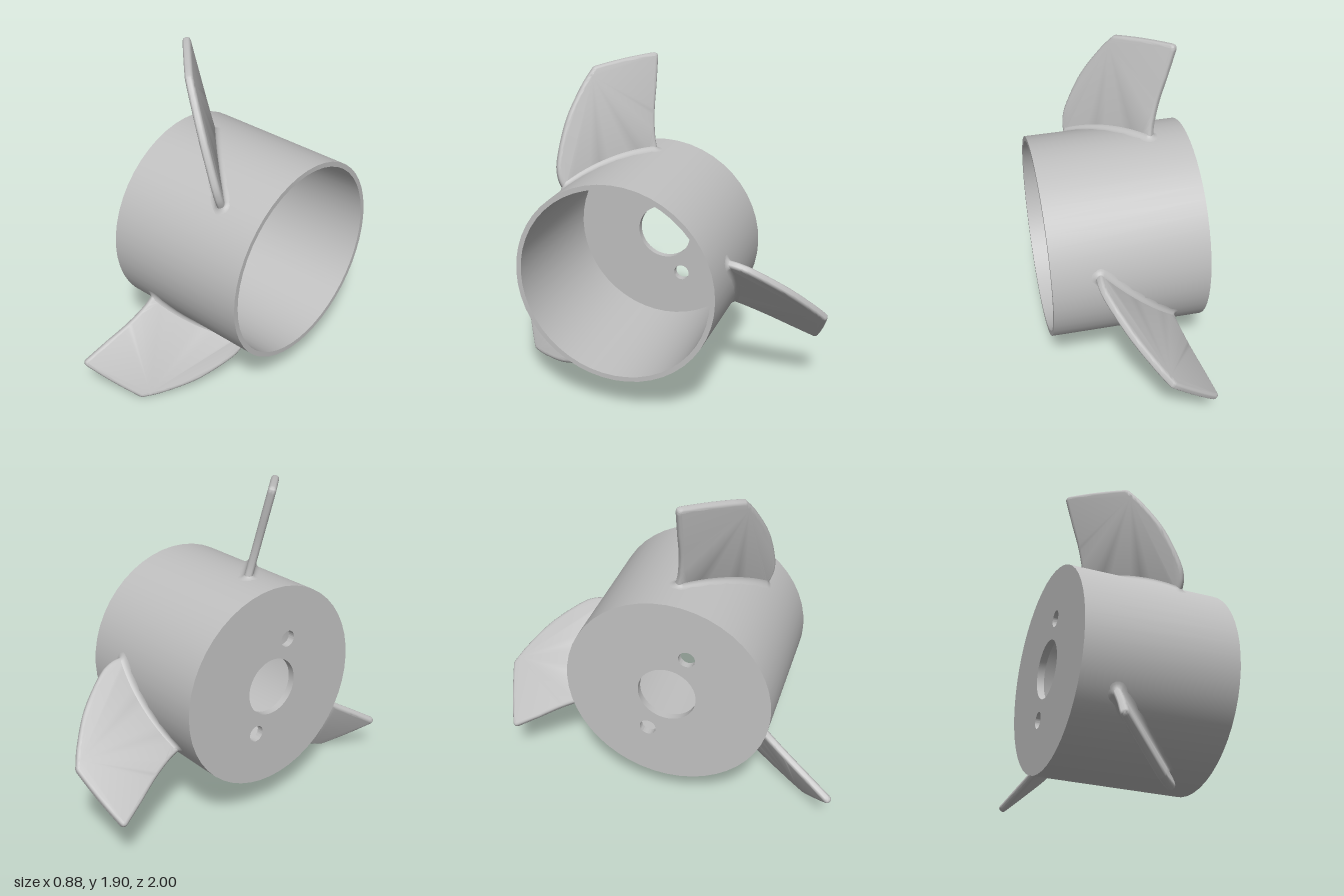
import * as THREE from 'three';
import { toCreasedNormals } from 'three/addons/utils/BufferGeometryUtils.js';

const HUB_R = 0.575;
const BACK = -0.435, FRONT = 0.43, FLOOR = 0.04;
const V = (x, y) => new THREE.Vector2(x, y);

// Cup wall: a lathe laid along the x axis
function wallGeometry() {
  const profile = [
    V(0.55, BACK), V(HUB_R, BACK), V(HUB_R, FRONT),
    V(0.547, FRONT), V(0.537, BACK + FLOOR),
  ];
  const geo = new THREE.LatheGeometry(profile, 48);
  geo.rotateZ(-Math.PI / 2);
  return toCreasedNormals(geo, 0.6);
}

// Cup floor: disc with a shaft hole and two pin holes
function floorGeometry() {
  const disc = new THREE.Shape().absarc(0, 0, 0.552, 0, Math.PI * 2, false);
  for (const [x, y, r] of [[0, 0, 0.163], [-0.11, 0.255, 0.046], [0.11, -0.255, 0.046]]) {
    disc.holes.push(new THREE.Path().absarc(x, y, r, 0, Math.PI * 2, true));
  }
  const geo = new THREE.ExtrudeGeometry(disc, { depth: FLOOR, bevelEnabled: false, curveSegments: 48 });
  geo.rotateY(Math.PI / 2);
  geo.translate(BACK, 0, 0);
  return toCreasedNormals(geo, 0.6);
}

// Blade plate: x is the chord, y the distance from the hub axis
function bladeGeometry() {
  const rootHeight = (s) => Math.sqrt(0.562 ** 2 - s * s / 2);
  const s0 = -0.29, s1 = 0.31;
  const shape = new THREE.Shape();
  shape.moveTo(s0, rootHeight(s0));
  for (let i = 1; i <= 10; i++) {
    const s = s0 + (s1 - s0) * i / 10;
    shape.lineTo(s, rootHeight(s));
  }
  shape.splineThru([V(0.315, 0.6), V(0.28, 0.7), V(0.156, 0.88), V(0.01, 1.02), V(-0.085, 1.09)]);
  shape.quadraticCurveTo(-0.095, 1.098, -0.11, 1.097);
  shape.quadraticCurveTo(-0.28, 1.085, -0.455, 1.052);
  shape.quadraticCurveTo(-0.485, 1.046, -0.478, 1.02);
  shape.splineThru([V(-0.415, 0.88), V(-0.35, 0.74), V(-0.305, 0.61), V(s0, rootHeight(s0))]);
  const geo = new THREE.ExtrudeGeometry(shape, {
    depth: 0.004, bevelThickness: 0.02, bevelSize: 0.02, bevelOffset: -0.02,
    bevelSegments: 4, curveSegments: 6,
  });
  geo.translate(0, 0, -0.002);
  return toCreasedNormals(geo, 0.7);
}

// Concave fillet blending the blade root into the round hub
function filletGeometry() {
  const half = 0.021, reach = 0.03, centre = 0.01, len = 0.278, rows = 5;
  const loop = [];
  for (const side of [1, -1]) {
    for (let i = 0; i < 12; i++) loop.push([side * len * (i / 6 - 1), 0, side]);
    for (let i = 0; i < 8; i++) {
      const a = Math.PI * i / 8;
      loop.push([side * len, side * Math.sin(a), side * Math.cos(a)]);
    }
  }
  const pos = [], index = [], n = loop.length;
  for (let j = 0; j <= rows; j++) {
    const a = (j / rows) * Math.PI / 2;
    const w = half + reach * (1 - Math.sin(a));
    const h = reach * (1 - Math.cos(a)) - 0.001;
    for (const [s, ds, dn] of loop) {
      const chord = centre + s + ds * w, off = dn * w;
      const t = (chord + off) * Math.SQRT1_2;
      pos.push(chord, Math.sqrt(HUB_R ** 2 - t * t) + h, off);
    }
  }
  for (let j = 0; j < rows; j++) {
    for (let k = 0; k < n; k++) {
      const a = j * n + k, b = j * n + (k + 1) % n;
      index.push(a, b, a + n, b, b + n, a + n);
    }
  }
  const geo = new THREE.BufferGeometry();
  geo.setAttribute('position', new THREE.Float32BufferAttribute(pos, 3));
  geo.setIndex(index);
  geo.computeVertexNormals();
  return geo;
}

export function createModel() {
  const grey = new THREE.MeshStandardMaterial({ color: 0xc0c0c0 });
  grey.name = 'light grey';
  const add = (parent, geo, name) => {
    const mesh = new THREE.Mesh(geo, grey);
    mesh.name = name;
    parent.add(mesh);
  };

  const impeller = new THREE.Group();
  impeller.name = 'impeller';
  add(impeller, wallGeometry(), 'hubWall');
  add(impeller, floorGeometry(), 'hubFloor');

  // Three pitched blades spaced evenly around the axis
  const blade = bladeGeometry(), fillet = filletGeometry();
  for (let i = 0; i < 3; i++) {
    const spoke = new THREE.Group();
    spoke.name = `blade${i + 1}`;
    spoke.rotation.x = THREE.MathUtils.degToRad(20 + 120 * i);
    const pitch = new THREE.Group();
    pitch.name = 'pitchedBlade';
    pitch.position.x = -0.035;
    pitch.rotation.y = -Math.PI / 4;
    add(pitch, blade, 'bladePlate');
    add(pitch, fillet, 'bladeFillet');
    spoke.add(pitch);
    impeller.add(spoke);
  }

  // The axis leans down very slightly towards +x
  impeller.rotation.z = THREE.MathUtils.degToRad(-0.9);
  impeller.position.set(0, 0.808, 0.07);

  const model = new THREE.Group();
  model.name = 'model';
  model.add(impeller);
  return model;
}
